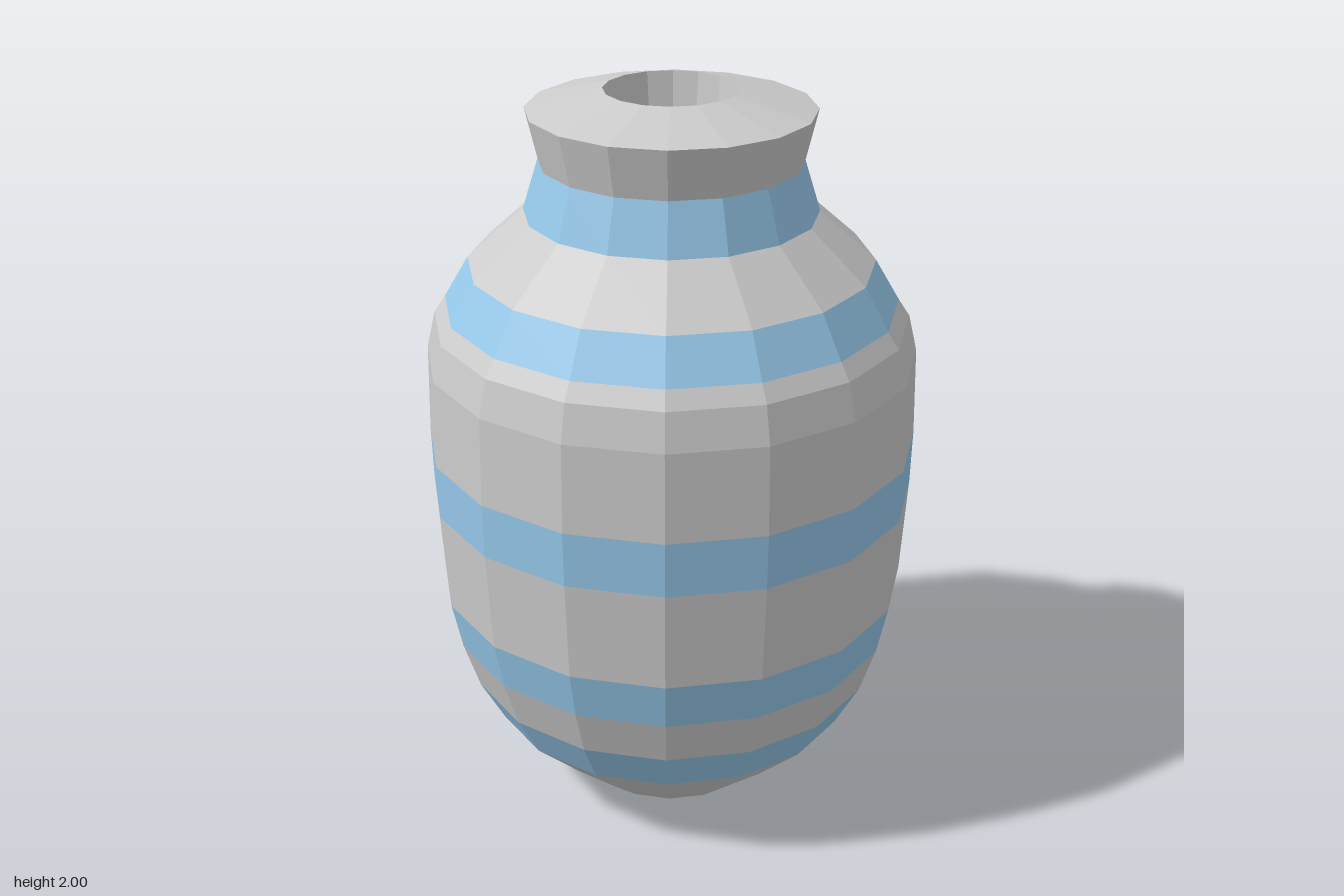
import * as THREE from 'three';

const SIDES = 16;

export function createModel() {
  const vase = new THREE.Group();
  vase.name = 'vase';

  const grey = new THREE.MeshStandardMaterial({ color: 0xcccccc, flatShading: true });
  const blue = new THREE.MeshStandardMaterial({ color: 0x96c8ea, flatShading: true });

  // Turns a run of [radius, height] points into one faceted ring of the vase
  function turn(name, material, points) {
    const profile = points.map(([r, y]) => new THREE.Vector2(r, y));
    const mesh = new THREE.Mesh(new THREE.LatheGeometry(profile, SIDES), material);
    mesh.name = name;
    vase.add(mesh);
  }

  // Outer profile, from the centre of the base up to the rim
  const outer = [
    [0, 0], [0.255, 0], [0.36, 0.09], [0.505, 0.23], [0.572, 0.355],
    [0.615, 0.49], [0.643, 0.625], [0.659, 0.9], [0.662, 1.05],
    [0.656, 1.29], [0.632, 1.39], [0.602, 1.435], [0.537, 1.545],
    [0.386, 1.68], [0.344, 1.815], [0.376, 1.95], [0.175, 2],
  ];

  // Consecutive sections of the profile: name, first point, last point, painted or not
  const sections = [
    ['foot', 0, 3, false],
    ['lowestBand', 3, 4, true],
    ['lowerBody', 4, 5, false],
    ['lowerBand', 5, 6, true],
    ['belly', 6, 7, false],
    ['middleBand', 7, 8, true],
    ['upperBody', 8, 11, false],
    ['shoulderBand', 11, 12, true],
    ['shoulder', 12, 13, false],
    ['neckBand', 13, 14, true],
    ['rim', 14, 16, false],
  ];
  for (const [name, from, to, painted] of sections) {
    turn(name, painted ? blue : grey, outer.slice(from, to + 1));
  }

  // Tapered mouth with a closed floor
  turn('mouth', grey, [[0.175, 2], [0.135, 1.7], [0, 1.7]]);

  return vase;
}
